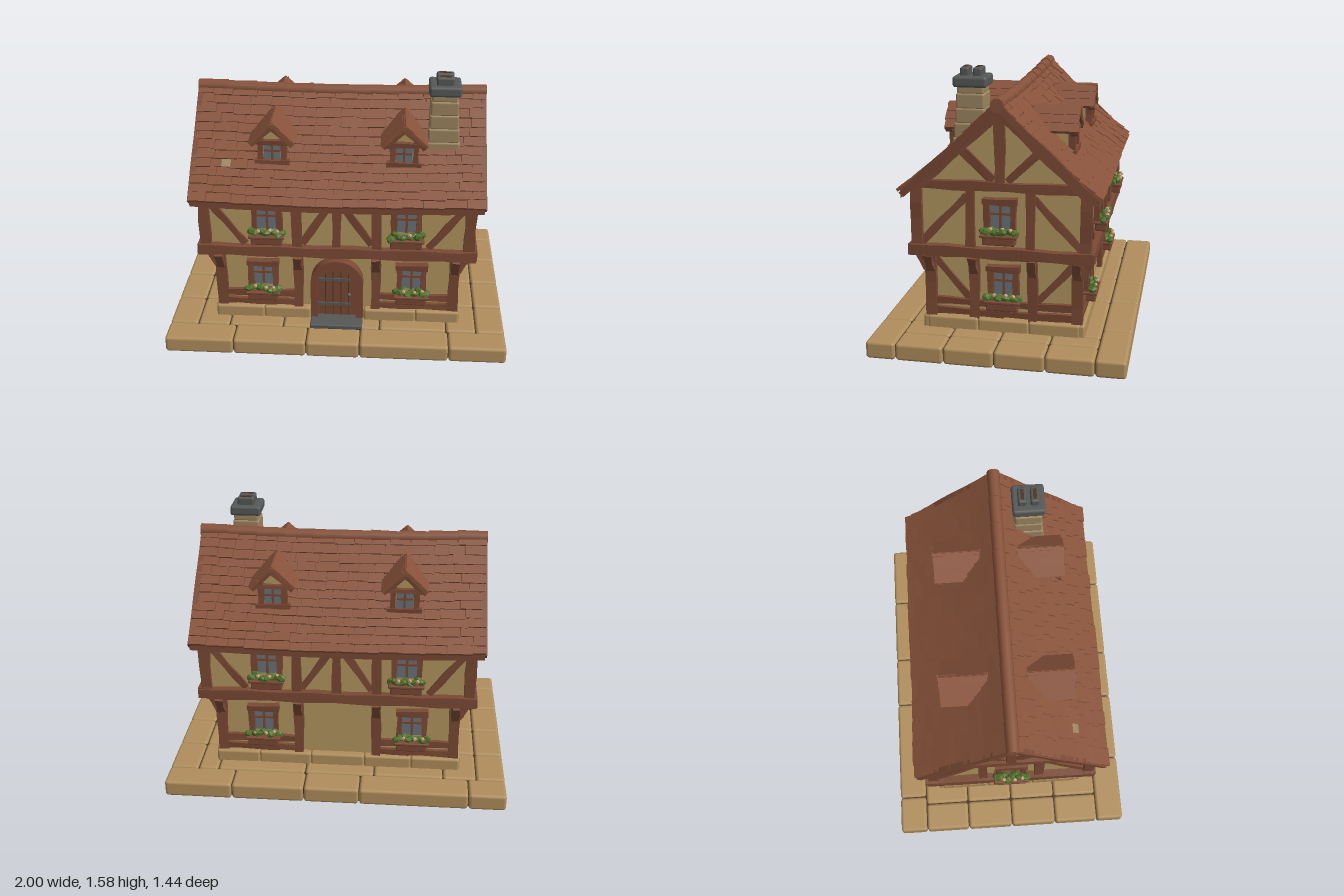
import * as THREE from 'three';
import { mergeGeometries } from 'three/addons/utils/BufferGeometryUtils.js';
import { RoundedBoxGeometry } from 'three/addons/geometries/RoundedBoxGeometry.js';

const mat = (name, color) => Object.assign(new THREE.MeshStandardMaterial({ color }), { name });
const stone = mat('sandstone', 0xb08e5c), plaster = mat('plaster', 0xb3965f);
const timber = mat('timber', 0x7a4934), tile = mat('roof tile', 0x87523a);
const slate = mat('slate', 0x555856), glass = mat('glass', 0x69747c);
const leaf = mat('leaf', 0x50702a), petal = mat('petal', 0xc99a78);
const chimneyStone = mat('chimney stone', 0x9c8560), dark = mat('dark joint', 0x4a3323);

let seed = 7;
const rnd = (a = -1, b = 1) => {
  seed = (seed * 16807) % 2147483647;
  return a + (b - a) * (seed / 2147483647);
};

function add(parent, name, geo, material, x = 0, y = 0, z = 0) {
  const m = new THREE.Mesh(geo, material);
  m.name = name;
  m.position.set(x, y, z);
  parent.add(m);
  return m;
}
const box = (p, name, m, w, h, d, x, y, z) => add(p, name, new THREE.BoxGeometry(w, h, d), m, x, y, z);
const rounded = (p, name, m, w, h, d, x, y, z, r = 0.015) =>
  add(p, name, new RoundedBoxGeometry(w, h, d, 2, r), m, x, y, z);
function group(parent, name) {
  const g = new THREE.Group();
  g.name = name;
  parent.add(g);
  return g;
}

// Rough-hewn beam between two points, w across and d deep
function beam(parent, name, a, b, w = 0.05, d = 0.04) {
  const p = new THREE.Vector3(...a), q = new THREE.Vector3(...b), len = p.distanceTo(q);
  let geo = new THREE.BoxGeometry(w, len, d, 1, Math.max(2, Math.round(len / 0.1)), 1);
  const pos = geo.attributes.position, k = rnd(0, 9);
  for (let i = 0; i < pos.count; i++) {
    const x = pos.getX(i), y = pos.getY(i), z = pos.getZ(i);
    pos.setX(i, x + 0.004 * Math.sin(y * 47 + k + Math.sign(x)));
    pos.setZ(i, z + 0.002 * Math.sin(y * 61 + k * 2 + Math.sign(x) * 2));
  }
  geo = geo.toNonIndexed();
  geo.computeVertexNormals();
  const m = add(parent, name, geo, timber);
  m.position.copy(p).add(q).multiplyScalar(0.5);
  m.quaternion.setFromUnitVectors(new THREE.Vector3(0, 1, 0), q.sub(p).normalize());
  return m;
}
const shapeOf = pts => new THREE.Shape(pts.map(p => new THREE.Vector2(...p)));
const extrude = (shape, depth, steps = 1) =>
  new THREE.ExtrudeGeometry(shape, { depth, steps, bevelEnabled: false, curveSegments: 14 });

// Roof height at distance z from the ridge, and its gentle sag along x
const roofY = z => 1.425 - 1.05 * Math.abs(z) + 0.24 * z * z;
const sag = x => 0.02 * (1 - (x / 0.84) ** 2);

// Framed window with a planted box; y is the centre of the glass
function makeWindow(parent, x, y, z) {
  const g = group(parent, 'window');
  g.position.set(x, y, z);
  box(g, 'pane', glass, 0.13, 0.15, 0.008, 0, 0, 0.006);
  for (const s of [-1, 1]) beam(g, 'windowJamb', [s * 0.072, -0.1, 0.015], [s * 0.072, 0.09, 0.015], 0.032, 0.05);
  beam(g, 'windowHead', [-0.095, 0.085, 0.018], [0.095, 0.085, 0.018], 0.036, 0.06);
  box(g, 'mullion', timber, 0.014, 0.15, 0.02, 0, 0, 0.01);
  box(g, 'glazingBar', timber, 0.12, 0.013, 0.02, 0, 0.012, 0.01);
  rounded(g, 'flowerBox', timber, 0.18, 0.05, 0.065, 0, -0.125, 0.048, 0.008);
  rounded(g, 'flowerBoxRim', timber, 0.205, 0.018, 0.08, 0, -0.1, 0.048, 0.006);
  for (let i = 0; i < 9; i++) {
    const m = add(g, 'leaves', new THREE.IcosahedronGeometry(0.024, 0), leaf,
      -0.088 + i * 0.022, -0.08 + rnd() * 0.01, 0.055 + rnd() * 0.02);
    m.rotation.set(rnd(0, 3), rnd(0, 3), 0);
    m.scale.set(1.1, 0.8, 1.2);
  }
  for (const px of [-0.045, 0.02, 0.065])
    add(g, 'flower', new THREE.IcosahedronGeometry(0.013, 0), petal, px, -0.062, 0.07 + rnd() * 0.01);
}

// One face of the house: half-widths and plane offsets for both storeys
function wallFace(house, name, turn, o) {
  const g = group(house, name);
  g.rotation.y = turn;
  const { low, up, lowZ, upZ, inner, win } = o;
  for (const u of inner) {
    beam(g, 'lowerPost', [u, 0.16, lowZ], [u, 0.56, lowZ], 0.055, 0.05);
    beam(g, 'upperPost', [u, 0.6, upZ], [u, 0.95, upZ], 0.052, 0.045);
  }
  for (const u of [...inner, -low, low])
    beam(g, 'bracket', [u, 0.44, lowZ + 0.015], [u, 0.55, lowZ + 0.075], 0.045, 0.035);
  if (!o.front && !o.gable) beam(g, 'lowerPost', [0, 0.16, lowZ - 0.04], [0, 0.56, lowZ - 0.04], 0.05);
  beam(g, 'beltBeam', [-up - 0.04, 0.585, upZ + 0.005], [up + 0.04, 0.585, upZ + 0.005], 0.06, 0.07);
  beam(g, 'lowerHeadBeam', [-low, 0.545, lowZ + 0.005], [low, 0.545, lowZ + 0.005], 0.04, 0.05);
  beam(g, 'upperHeadBeam', [-up, o.gable ? 0.96 : 0.915, upZ], [up, o.gable ? 0.96 : 0.915, upZ], 0.05, 0.055);
  const end = inner[inner.length - 1];
  for (const s of [-1, 1]) {
    // rails under the windows
    const from = o.gable ? 0 : end;
    for (const y of [0.195, 0.255]) beam(g, 'rail', [s * from, y, lowZ], [s * low, y, lowZ], 0.04, 0.035);
    if (o.gable) {
      beam(g, 'upperBrace', [s * (end + 0.02), 0.9, upZ - 0.008], [s * (up - 0.02), 0.62, upZ - 0.008], 0.042, 0.035);
      beam(g, 'lowerBrace', [s * (low - 0.02), 0.51, lowZ - 0.008], [s * (end + 0.02), 0.27, lowZ - 0.008], 0.042, 0.035);
      // gable truss
      beam(g, 'rafter', [s * 0.49, 0.915, upZ + 0.005], [0, 1.37, upZ + 0.005], 0.055, 0.06);
      beam(g, 'bargeBoard', [s * 0.535, 0.905, 0.825], [s * 0.01, 1.395, 0.825], 0.04, 0.03);
      beam(g, 'gableStrut', [s * 0.04, 0.99, upZ - 0.005], [s * 0.215, 1.16, upZ - 0.005], 0.045, 0.035);
    } else {
      beam(g, 'upperBrace', [s * (up - 0.02), 0.9, upZ - 0.008], [s * 0.53, 0.62, upZ - 0.008], 0.04, 0.035);
      beam(g, 'upperBrace', [s * 0.03, 0.89, upZ - 0.008], [s * 0.2, 0.63, upZ - 0.008], 0.04, 0.035);
    }
  }
  if (o.gable) beam(g, 'kingPost', [0, 0.97, upZ], [0, 1.37, upZ], 0.055, 0.05);
  for (const [u, v] of win) {
    makeWindow(g, u, 0.795, upZ - 0.01);
    makeWindow(g, v, 0.385, lowZ - 0.01);
  }
  return g;
}

function makeDoor(parent) {
  const g = group(parent, 'door');
  const arch = (Type, w) => {
    const s = new Type();
    s.moveTo(-w, 0.1); s.lineTo(w, 0.1); s.lineTo(w, 0.357);
    s.absarc(0, 0.357, w, 0, Math.PI, false);
    s.lineTo(-w, 0.1);
    return s;
  };
  const frame = arch(THREE.Shape, 0.155);
  frame.holes.push(arch(THREE.Path, 0.113));
  add(g, 'doorFrame', extrude(frame, 0.075), timber, 0, 0, 0.41);
  add(g, 'doorLeaf', extrude(arch(THREE.Shape, 0.115), 0.04), timber, 0, 0, 0.415);
  for (const x of [-0.068, -0.023, 0.023, 0.068])
    box(g, 'plankJoint', dark, 0.005, 0.33 - Math.abs(x) * 0.4, 0.004, x, 0.275 - Math.abs(x) * 0.2, 0.456);
  for (const y of [0.205, 0.375]) box(g, 'hinge', slate, 0.19, 0.017, 0.009, -0.015, y, 0.459);
  add(g, 'doorKnob', new THREE.SphereGeometry(0.013, 10, 8), slate, 0.072, 0.275, 0.465);
  rounded(g, 'doorStep', slate, 0.31, 0.03, 0.125, 0, 0.112, 0.51, 0.008);
}

function makeDormer(parent, x) {
  const g = group(parent, 'dormer');
  g.position.x = x;
  add(g, 'dormerWall', extrude(shapeOf([[-0.075, 1.04], [0.075, 1.04], [0.075, 1.23], [0, 1.3], [-0.075, 1.23]]), 0.24),
    plaster, 0, 0, 0.1);
  box(g, 'dormerPane', glass, 0.095, 0.11, 0.008, 0, 1.15, 0.342);
  box(g, 'dormerMullion', timber, 0.012, 0.11, 0.014, 0, 1.15, 0.345);
  box(g, 'dormerGlazingBar', timber, 0.095, 0.012, 0.014, 0, 1.155, 0.345);
  for (const y of [1.09, 1.21]) beam(g, 'dormerCrossbeam', [-0.1, y, 0.345], [0.1, y, 0.345], 0.027, 0.045);
  for (const s of [-1, 1]) {
    beam(g, 'dormerPost', [s * 0.066, 1.07, 0.34], [s * 0.066, 1.23, 0.34], 0.032, 0.04);
    beam(g, 'dormerRafter', [s * 0.118, 1.195, 0.355], [0, 1.305, 0.355], 0.026, 0.04);
    for (let i = 0; i < 3; i++) { // overlapping shingle strips
      const m = box(g, 'dormerShingles', tile, 0.068, 0.02, 0.27 + rnd() * 0.008,
        s * (0.022 + i * 0.04), 1.31 - i * 0.04, 0.245);
      m.rotation.z = -s * 0.72;
    }
  }
  beam(g, 'dormerRidge', [0, 1.318, 0.1], [0, 1.318, 0.385], 0.03, 0.022).material = tile;
}

function makeRoof(parent) {
  const g = group(parent, 'roof');
  const zs = [-0.54, -0.4, -0.2, 0, 0.2, 0.4, 0.54];
  const outline = [...zs.map(z => [z, roofY(z)]).reverse(), ...zs.map(z => [z, roofY(z) - 0.045])];
  const slab = extrude(shapeOf(outline), 1.66, 8).translate(0, 0, -0.83).rotateY(Math.PI / 2);
  const pos = slab.attributes.position;
  for (let i = 0; i < pos.count; i++) pos.setY(i, pos.getY(i) - sag(pos.getX(i)));
  slab.computeVertexNormals();
  add(g, 'roofBoards', slab, timber);
  // overlapping courses of uneven tiles on both slopes
  const tiles = [], rows = 13;
  for (const turn of [0, Math.PI]) for (let r = 0; r < rows; r++) {
    const z = 0.525 - r * 0.0415, a = Math.atan(1.05 - 0.48 * z);
    for (let x = -0.835; x < 0.82;) {
      let w = rnd(0.08, 0.15);
      if (x + w > 0.77) w = 0.835 - x;
      const c = x + w / 2;
      tiles.push(new THREE.BoxGeometry(w - 0.004, 0.016, 0.074 + rnd() * 0.007)
        .rotateX(a - 0.13 + rnd() * 0.025).rotateZ(rnd() * 0.012)
        .translate(c, roofY(z) + 0.009 - sag(c), z + rnd() * 0.004).rotateY(turn));
      x += w;
    }
  }
  add(g, 'roofTiles', mergeGeometries(tiles), tile);
  for (let i = 0; i < 10; i++) { // ridge caps
    const x = -0.756 + i * 0.168;
    const m = add(g, 'ridgeCap', new THREE.CylinderGeometry(0.035, 0.038, 0.174, 10), tile, x, 1.415 - sag(x), 0);
    m.rotation.z = Math.PI / 2 + rnd() * 0.02;
  }
  const patch = rounded(g, 'roofPatch', chimneyStone, 0.055, 0.012, 0.05, -0.64, roofY(0.37) + 0.009, 0.37, 0.005);
  patch.rotation.x = 0.72;
  for (const turn of [0, Math.PI]) {
    const side = group(g, 'dormers');
    side.rotation.y = turn;
    for (const x of [-0.375, 0.375]) makeDormer(side, x);
  }
}

function makeChimney(parent) {
  const g = group(parent, 'chimney');
  g.position.set(0.595, 0, 0.185);
  for (let i = 0; i < 5; i++) {
    const w = 0.19 - i * 0.011;
    rounded(g, 'chimneyCourse', chimneyStone, w + rnd() * 0.003, 0.086, w + rnd() * 0.003, 0, 1.155 + i * 0.08, 0, 0.012);
  }
  rounded(g, 'chimneyCap', slate, 0.182, 0.06, 0.188, 0, 1.5, 0, 0.016);
  for (const z of [-0.036, 0.036]) {
    rounded(g, 'chimneyPot', slate, 0.1, 0.06, 0.05, 0, 1.545, z, 0.012);
    box(g, 'flue', dark, 0.065, 0.004, 0.02, 0, 1.575, z);
  }
}

function makeBase(parent) {
  const g = group(parent, 'base');
  box(g, 'pavingBed', dark, 1.96, 0.07, 1.4, 0, 0.05, 0);
  const zs = [-0.72, -0.55, -0.28, 0, 0.28, 0.55, 0.72];
  for (let r = 0; r < 6; r++) {
    const inner = [-0.68, -0.23, 0.22, 0.66].map(x => x + rnd() * 0.1);
    const xs = r % 5 ? [-1, -0.83, ...inner, 0.83, 1] : [-1, ...inner, 1];
    for (let i = 0; i + 1 < xs.length; i++)
      rounded(g, 'pavingStone', stone, xs[i + 1] - xs[i] - 0.004, 0.1, zs[r + 1] - zs[r] - 0.004,
        (xs[i] + xs[i + 1]) / 2, 0.05, (zs[r] + zs[r + 1]) / 2, 0.018);
  }
  // plinth stones, with a gap at the door
  box(g, 'plinthCore', stone, 1.42, 0.075, 0.87, 0, 0.125, 0);
  for (const s of [-1, 1]) {
    for (const [a, b] of [[-0.73, -0.44], [-0.44, -0.16], [-0.16, 0.16], [0.16, 0.47], [0.47, 0.73]])
      if (s < 0 || a !== -0.16)
        rounded(g, 'plinthStone', stone, b - a, 0.085, 0.08, (a + b) / 2, 0.128, s * 0.422);
    for (const z of [-0.29, 0, 0.29]) rounded(g, 'plinthStone', stone, 0.08, 0.085, 0.29, s * 0.695, 0.127, z);
  }
}

export function createModel() {
  const model = new THREE.Group();
  model.name = 'timberHouse';
  makeBase(model);
  const house = group(model, 'house');
  box(house, 'lowerWalls', plaster, 1.38, 0.46, 0.84, 0, 0.35, 0);
  add(house, 'upperWalls', extrude(shapeOf([[-0.47, 0.57], [0.47, 0.57], [0.47, 0.93], [0.25, 1.13], [0, 1.36],
    [-0.25, 1.13], [-0.47, 0.93]]), 1.53).translate(0, 0, -0.765).rotateY(Math.PI / 2), plaster);
  for (const x of [-1, 1]) for (const z of [-1, 1]) {
    beam(house, 'lowerCornerPost', [x * 0.69, 0.16, z * 0.415], [x * 0.69, 0.57, z * 0.415], 0.062, 0.062);
    beam(house, 'upperCornerPost', [x * 0.762, 0.58, z * 0.466], [x * 0.762, 0.94, z * 0.466], 0.062, 0.062);
  }
  const long = { low: 0.69, up: 0.765, lowZ: 0.425, upZ: 0.475, win: [[-0.4, -0.44], [0.4, 0.44]], inner: [-0.23, 0.23] };
  const front = wallFace(house, 'frontFace', 0, { ...long, front: true });
  const back = wallFace(house, 'backFace', Math.PI, long);
  for (const f of [front, back]) beam(f, 'centrePost', [0, 0.6, 0.475], [0, 0.92, 0.475], 0.052, 0.045);
  const gable = { low: 0.415, up: 0.466, lowZ: 0.695, upZ: 0.77, win: [[0, 0]], inner: [-0.165, 0.165], gable: true };
  wallFace(house, 'leftFace', Math.PI / 2, gable);
  wallFace(house, 'rightFace', -Math.PI / 2, gable);
  makeDoor(house);
  makeRoof(house);
  makeChimney(house);
  return model;
}
